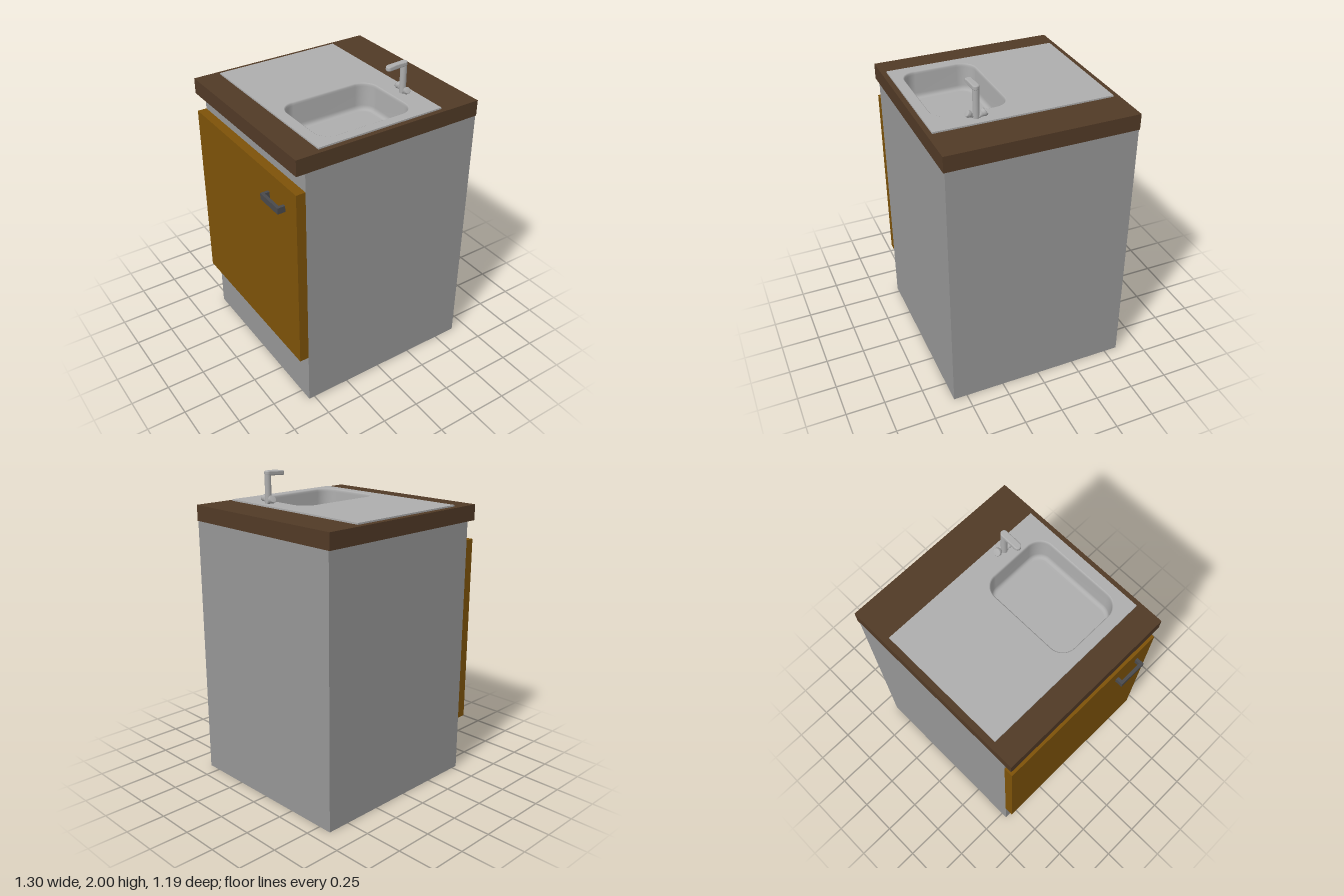
import * as THREE from 'three';

const mat = (color, side = THREE.FrontSide) => new THREE.MeshStandardMaterial({ color, side });
const cabinetGrey = mat(0x969696, THREE.DoubleSide);
const steel = mat(0xadadad);
const steelSheet = mat(0xadadad, THREE.DoubleSide);
const worktopBrown = mat(0x513a26);
const doorBrown = mat(0x7d5208);
const handleGrey = mat(0x49494b);

function add(parent, name, geometry, material) {
  const mesh = new THREE.Mesh(geometry, material);
  mesh.name = name;
  parent.add(mesh);
  return mesh;
}

// Box given by its min and max corners
function block(x0, x1, y0, y1, z0, z1) {
  return new THREE.BoxGeometry(x1 - x0, y1 - y0, z1 - z0)
    .translate((x0 + x1) / 2, (y0 + y1) / 2, (z0 + z1) / 2);
}

// Basin outline (x, z), shrunk by an inset
const basin = { x0: -0.375, x1: 0.264, z0: 0.031, z1: 0.503, r: 0.1 };
function basinOutline(inset) {
  const r = basin.r - inset, off = inset + r, steps = 10, pts = [];
  const corners = [
    [basin.x1 - off, basin.z1 - off], [basin.x0 + off, basin.z1 - off],
    [basin.x0 + off, basin.z0 + off], [basin.x1 - off, basin.z0 + off],
  ];
  corners.forEach(([cx, cz], c) => {
    for (let i = 0; i <= steps; i++) {
      const a = (c + i / steps) * Math.PI / 2;
      pts.push(new THREE.Vector2(cx + r * Math.cos(a), cz + r * Math.sin(a)));
    }
  });
  return pts;
}

// Horizontal slab with the basin cut out
function slab(x0, x1, z0, z1, top, thickness) {
  const shape = new THREE.Shape([[x0, z0], [x1, z0], [x1, z1], [x0, z1]].map(p => new THREE.Vector2(...p)));
  shape.holes.push(new THREE.Path(basinOutline(0)));
  return new THREE.ExtrudeGeometry(shape, { depth: thickness, bevelEnabled: false })
    .rotateX(Math.PI / 2).translate(0, top, 0);
}

// Bowl lofted from shrinking outlines, closed by a flat floor
function bowlGeometry() {
  const rings = [[0, 1.8], [0.004, 1.798], [0.007, 1.792], [0.008, 1.78], [0.01, 1.655],
    [0.013, 1.64], [0.02, 1.63], [0.03, 1.626], [0.036, 1.625], [0.06, 1.625]];
  const pos = [], index = [];
  let n = 0;
  for (const [inset, y] of rings) {
    const pts = basinOutline(inset);
    n = pts.length;
    pts.forEach(p => pos.push(p.x, y, p.y));
  }
  for (let k = 0; k < rings.length - 1; k++) {
    for (let i = 0; i < n; i++) {
      const a = k * n + i, b = k * n + (i + 1) % n;
      index.push(a, a + n, b, b, a + n, b + n);
    }
  }
  const centre = pos.length / 3, last = (rings.length - 1) * n;
  pos.push((basin.x0 + basin.x1) / 2, 1.625, (basin.z0 + basin.z1) / 2);
  for (let i = 0; i < n; i++) index.push(last + i, centre, last + (i + 1) % n);
  const g = new THREE.BufferGeometry();
  g.setAttribute('position', new THREE.Float32BufferAttribute(pos, 3));
  g.setIndex(index);
  g.computeVertexNormals();
  return g;
}

// Round-ended spout whose top dips towards the tip and whose underside slopes
function spoutGeometry() {
  const bevel = 0.007, r = 0.021 - bevel, tip = -0.105, bend = -0.065;
  const plan = new THREE.Shape();
  plan.moveTo(bend, -r);
  plan.absarc(0, 0, r, -Math.PI / 2, Math.PI / 2);
  plan.lineTo(bend, r);
  plan.absarc(tip, 0, r, Math.PI / 2, Math.PI * 1.5);
  const g = new THREE.ExtrudeGeometry(plan, {
    depth: 0.028 - 2 * bevel, bevelThickness: bevel, bevelSize: bevel, bevelSegments: 4, curveSegments: 10,
  }).rotateX(Math.PI / 2).translate(0, 0.2 - bevel, 0);
  const p = g.attributes.position;
  for (let i = 0; i < p.count; i++) {
    const x = p.getX(i), y = p.getY(i);
    const drop = y > 0.186 ? Math.max(bend - x, 0) * 0.14 : Math.max(-x, 0) * 0.06;
    p.setY(i, y - drop);
  }
  return g;
}

function createTap() {
  const tap = new THREE.Group();
  tap.name = 'tap';
  add(tap, 'tapPost', new THREE.CylinderGeometry(0.02, 0.02, 0.19, 24).translate(0, 0.095, 0), steel);
  add(tap, 'spout', spoutGeometry(), steel);

  // Two flared knobs leaning outwards and up
  for (const side of [-1, 1]) {
    const r = side < 0 ? 0.025 : 0.021;
    const profile = [[0, 0], [0.009, 0], [0.011, 0.025], [r * 0.85, 0.042], [r, 0.046], [r, 0.06],
      [r * 0.9, 0.063], [0, 0.063]].map(p => new THREE.Vector2(...p));
    const knob = add(tap, side < 0 ? 'backKnob' : 'frontKnob', new THREE.LatheGeometry(profile, 20), steel);
    knob.rotation.x = side * 0.98;
    knob.position.set(side < 0 ? 0.008 : -0.005, 0, side * 0.002);
  }
  tap.position.set(0.336, 1.8, 0.281);
  return tap;
}

export function createModel() {
  const model = new THREE.Group();
  model.name = 'sinkCabinet';

  // Cabinet body, left open on top under the worktop so the bowl can hang in it
  const body = block(-0.54, 0.65, 0, 1.69, -0.588, 0.588);
  const faces = Array.from(body.index.array);
  faces.splice(12, 6);
  body.setIndex(faces);
  body.clearGroups();
  add(model, 'cabinet', body, cabinetGrey);

  // Worktop and sink
  add(model, 'worktop', slab(-0.6, 0.65, -0.595, 0.595, 1.79, 0.1), worktopBrown);
  add(model, 'sinkPlate', slab(-0.44, 0.4, -0.557, 0.563, 1.8, 0.01), steel);
  add(model, 'sinkBowl', bowlGeometry(), steelSheet);
  model.add(createTap());

  // Door with its bar handle
  add(model, 'door', block(-0.6, -0.54, 0.36, 1.57, -0.588, 0.588), doorBrown);
  const handle = new THREE.Group();
  handle.name = 'handle';
  add(handle, 'handleBar', block(-0.65, -0.63, 1.4, 1.44, 0.28, 0.47), handleGrey);
  for (const z of [0.28, 0.45]) {
    add(handle, 'handleLeg', block(-0.63, -0.6, 1.4, 1.44, z, z + 0.02), handleGrey);
  }
  model.add(handle);
  return model;
}
